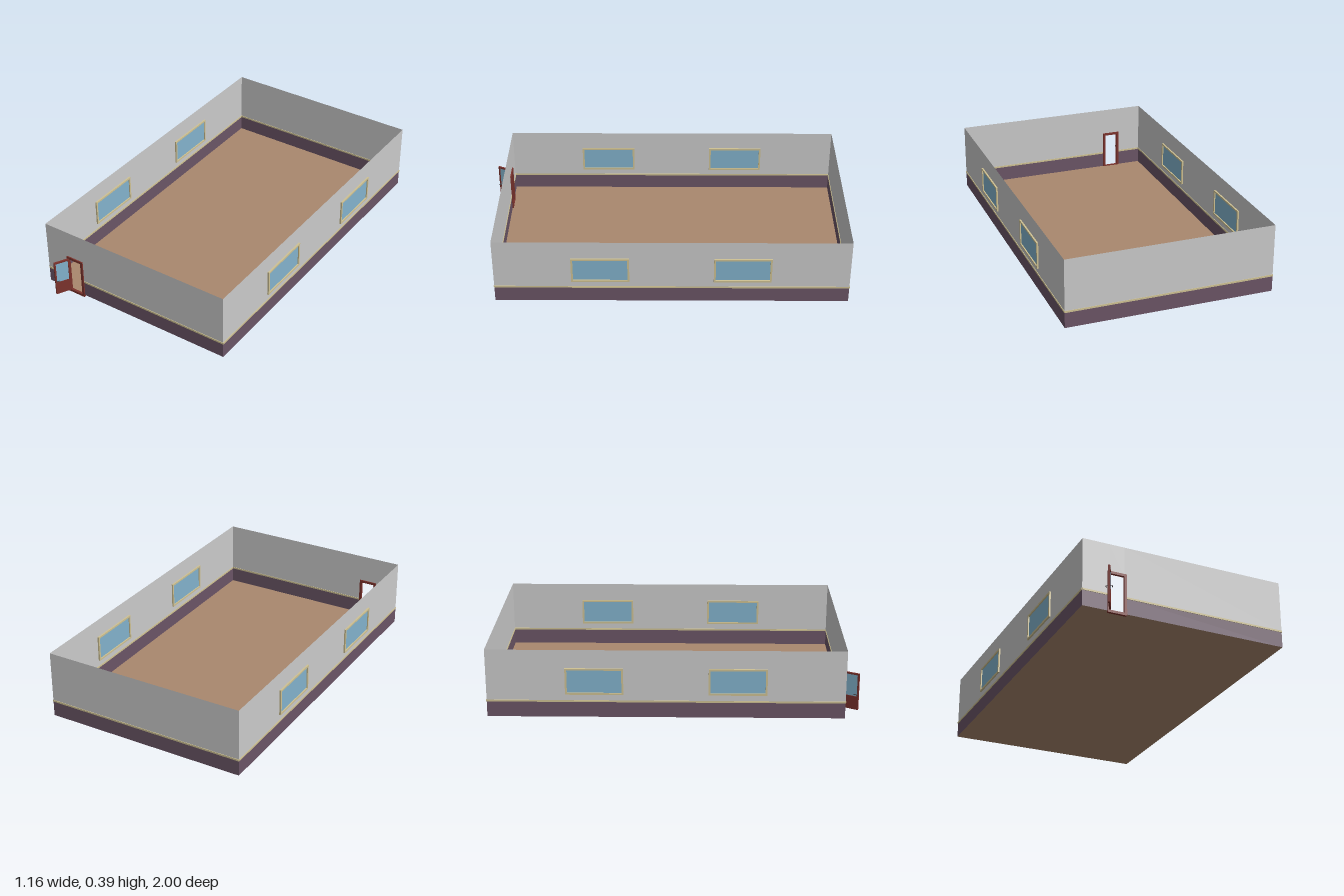
import * as THREE from 'three';

const X = 0.572, BACK = -1, FRONT = 0.91;      // room outline
const Y0 = 0.01, RAIL = 0.1, TOP = 0.39;       // floor, dado rail, wall top
const DOOR = { x0: -0.425, x1: -0.34, y1: 0.222 };

function material(name, color, side = THREE.FrontSide) {
  const m = new THREE.MeshStandardMaterial({ color, side });
  m.name = name;
  return m;
}

export function createModel() {
  const mats = {
    wall: material('grey wall', 0xcbcbcb, THREE.DoubleSide),
    dado: material('plum dado', 0x6b5566, THREE.DoubleSide),
    cream: material('cream trim', 0xcfc294),
    floor: material('tan floor', 0xa9886e, THREE.DoubleSide),
    glass: material('blue glass', 0x83b3cd),
    wood: material('red brown wood', 0x7c332d),
    metal: material('dark metal', 0x4a4548),
  };

  function add(parent, name, geometry, mat, x = 0, y = 0, z = 0) {
    const mesh = new THREE.Mesh(geometry, mat);
    mesh.name = name;
    mesh.position.set(x, y, z);
    parent.add(mesh);
    return mesh;
  }

  function group(parent, name) {
    const g = new THREE.Group();
    g.name = name;
    parent.add(g);
    return g;
  }

  function outline(Type, x0, x1, y0, y1) {
    const p = new Type();
    p.moveTo(x0, y0);
    p.lineTo(x1, y0);
    p.lineTo(x1, y1);
    p.lineTo(x0, y1);
    p.closePath();
    return p;
  }

  // Thin upright sheet with optional rectangular openings
  function sheet(parent, name, mat, x0, x1, y0, y1, holes = []) {
    const shape = outline(THREE.Shape, x0, x1, y0, y1);
    for (const h of holes) shape.holes.push(outline(THREE.Path, ...h));
    return add(parent, name, new THREE.ShapeGeometry(shape), mat);
  }

  // Rectangular frame, centred on local z = 0
  function frame(parent, name, mat, x0, x1, y0, y1, bar, depth) {
    const shape = outline(THREE.Shape, x0, x1, y0, y1);
    shape.holes.push(outline(THREE.Path, x0 + bar, x1 - bar, y0 + bar, y1 - bar));
    const geometry = new THREE.ExtrudeGeometry(shape, { depth, bevelEnabled: false });
    return add(parent, name, geometry.translate(0, 0, -depth / 2), mat);
  }

  // Plum lower wall and cream rail along one stretch
  function lowerWall(parent, x0, x1) {
    sheet(parent, 'dado', mats.dado, x0, x1, Y0, RAIL);
    add(parent, 'dadoRail', new THREE.BoxGeometry(x1 - x0, 0.01, 0.006), mats.cream,
      (x0 + x1) / 2, RAIL + 0.001, 0);
  }

  const model = new THREE.Group();
  model.name = 'room';

  // Floor
  const floor = add(model, 'floor', new THREE.PlaneGeometry(X * 2, FRONT - BACK),
    mats.floor, 0, Y0, (FRONT + BACK) / 2);
  floor.rotation.x = -Math.PI / 2;

  // Long side walls with two windows each; local x runs along world z
  const windows = [[-0.58, -0.27, 0.14, 0.288], [0.182, 0.494, 0.14, 0.288]];
  for (const side of [-1, 1]) {
    const wall = group(model, side > 0 ? 'leftWall' : 'rightWall');
    wall.position.x = side * X;
    wall.rotation.y = -Math.PI / 2;
    sheet(wall, 'upperWall', mats.wall, BACK, FRONT, RAIL, TOP, windows);
    lowerWall(wall, BACK, FRONT);
    for (const [x0, x1, y0, y1] of windows) {
      const win = group(wall, 'window');
      frame(win, 'windowFrame', mats.cream, x0, x1, y0, y1, 0.01, 0.018);
      add(win, 'windowPane', new THREE.BoxGeometry(x1 - x0 - 0.02, y1 - y0 - 0.02, 0.005),
        mats.glass, (x0 + x1) / 2, (y0 + y1) / 2, 0);
    }
  }

  // Back wall
  const back = group(model, 'backWall');
  back.position.z = BACK;
  sheet(back, 'upperWall', mats.wall, -X, X, RAIL, TOP);
  lowerWall(back, -X, X);

  // Front wall, broken by the doorway
  const front = group(model, 'frontWall');
  front.position.z = FRONT;
  for (const [x0, x1] of [[-X, DOOR.x0], [DOOR.x1, X]]) {
    sheet(front, 'upperWall', mats.wall, x0, x1, RAIL, TOP);
    lowerWall(front, x0, x1);
  }
  sheet(front, 'wallOverDoor', mats.wall, DOOR.x0, DOOR.x1, DOOR.y1, TOP);
  frame(front, 'doorFrame', mats.wood, -0.435, -0.33, 0, 0.233, 0.014, 0.014);

  // Open door, swung outwards about its hinge; local x runs to the free edge
  const door = group(model, 'door');
  door.position.set(-0.422, 0, 0.914);
  door.rotation.y = -2.06;
  const L = 0.088, T = 0.01, bottom = 0.014, top = 0.222, mid = 0.09;
  add(door, 'doorPanel', new THREE.BoxGeometry(L, mid - bottom, T), mats.wood,
    L / 2, (mid + bottom) / 2, 0);
  frame(door, 'doorSash', mats.wood, 0, L, mid - 0.009, top, 0.009, T);
  add(door, 'doorPane', new THREE.BoxGeometry(L - 0.018, top - mid - 0.009, 0.004), mats.glass,
    L / 2, (mid + top - 0.009) / 2, 0);

  // Lever handle on each face
  for (const s of [-1, 1]) {
    const spindle = add(door, 'handleSpindle', new THREE.CylinderGeometry(0.002, 0.002, 0.012, 10),
      mats.metal, L - 0.006, 0.105, s * 0.01);
    spindle.rotation.x = Math.PI / 2;
    add(door, 'handleLever', new THREE.BoxGeometry(0.018, 0.004, 0.003), mats.metal,
      L - 0.013, 0.105, s * 0.016);
  }

  return model;
}
